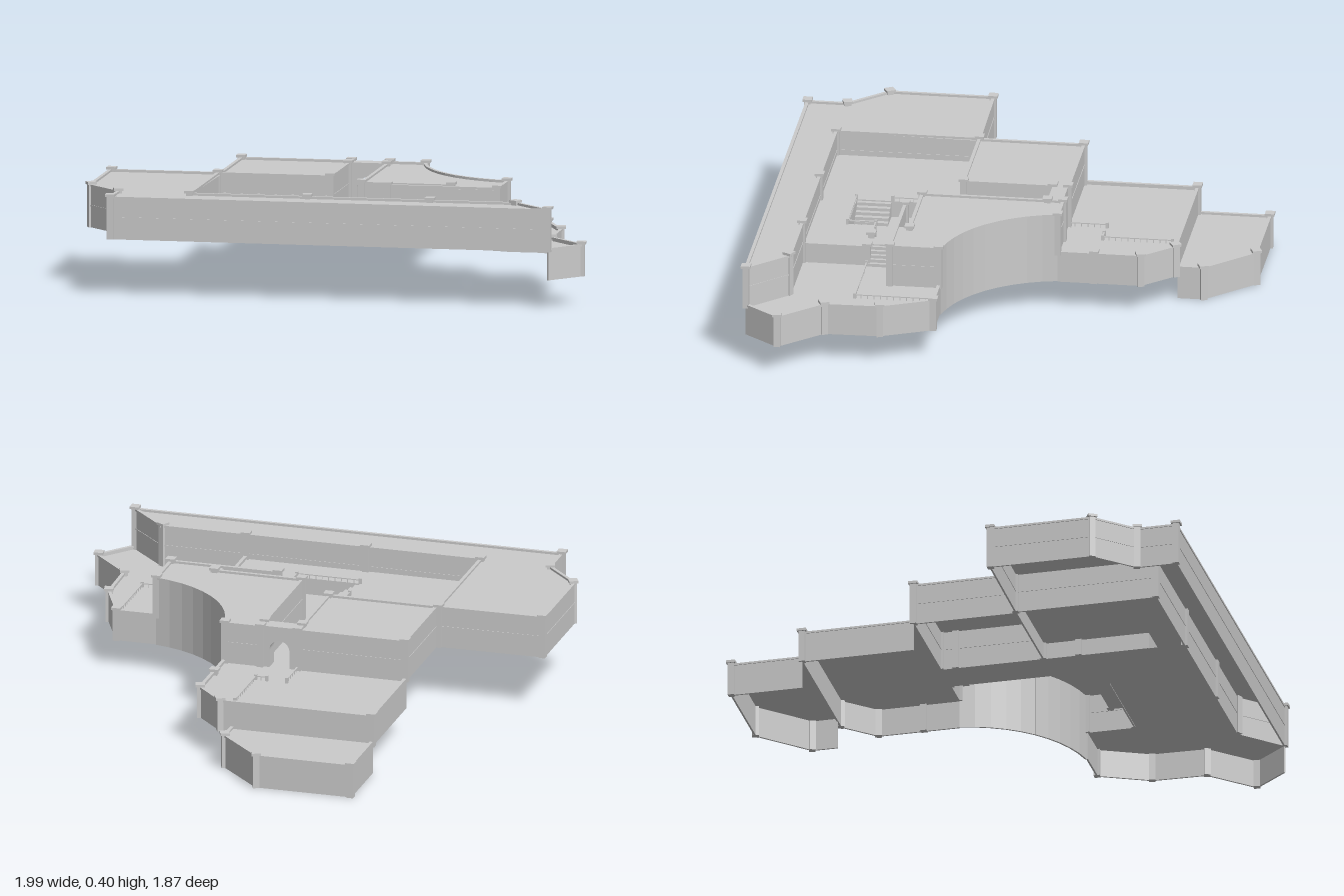
import * as THREE from 'three';

const stone = new THREE.MeshStandardMaterial({ color: 0xcccccc, flatShading: true, side: THREE.DoubleSide });

export function createModel() {
  const root = new THREE.Group();

  const box = (parent, name, w, h, d, x, y, z, turn = 0) => {
    const m = new THREE.Mesh(new THREE.BoxGeometry(w, h, d), stone);
    m.name = name;
    m.position.set(x, y + h / 2, z); // y is the underside
    m.rotation.y = turn;
    parent.add(m);
    return m;
  };

  const group = (name) => {
    const g = new THREE.Group();
    g.name = name;
    root.add(g);
    return g;
  };

  // Flat floor from [x, z] corners
  const floor = (name, pts, y) => {
    const shape = new THREE.Shape(pts.map(([x, z]) => new THREE.Vector2(x, -z)));
    const m = new THREE.Mesh(new THREE.ShapeGeometry(shape).rotateX(-Math.PI / 2), stone);
    m.name = name;
    m.position.y = y;
    root.add(m);
  };

  // Calls fn for each stretch between neighbouring points
  const stretches = (pts, fn) => {
    for (let i = 0; i + 1 < pts.length; i++) {
      const [ax, az] = pts[i], [bx, bz] = pts[i + 1];
      fn((ax + bx) / 2, (az + bz) / 2, Math.hypot(bx - ax, bz - az), -Math.atan2(bz - az, bx - ax));
    }
  };

  // Wall with a coping and, on tall walls, a middle moulding
  const wall = (name, pts, y0, y1, moulding = false) => {
    const g = group(name);
    stretches(pts, (x, z, len, turn) => {
      box(g, 'wallPanel', len, y1 - y0 - 0.008, 0.007, x, y0, z, turn);
      box(g, 'coping', len + 0.005, 0.008, 0.013, x, y1 - 0.008, z, turn);
      if (moulding) box(g, 'moulding', len, 0.005, 0.011, x, 0.302, z, turn);
    });
  };

  // Square posts with caps: [x, z, turn]
  const posts = (name, list, y0, y1) => {
    const g = group(name);
    for (const [x, z, turn = 0] of list) {
      box(g, 'postShaft', 0.025, y1 - y0 - 0.008, 0.025, x, y0, z, turn);
      box(g, 'postCap', 0.036, 0.01, 0.036, x, y1 - 0.009, z, turn);
    }
  };

  // Low thin railing with small end posts
  const railing = (name, pts, y) => {
    const g = group(name);
    stretches(pts, (x, z, len, turn) => {
      box(g, 'rail', len, 0.004, 0.006, x, y + 0.013, z, turn);
      const n = Math.max(2, Math.round(len / 0.025));
      for (let i = 0; i <= n; i++) {
        const s = (i / n - 0.5) * len;
        box(g, 'baluster', 0.003, 0.014, 0.003, x + Math.cos(turn) * s, y, z - Math.sin(turn) * s);
      }
    });
    for (const [x, z] of pts) box(g, 'railingPost', 0.011, 0.022, 0.011, x, y, z);
  };

  const LOW = 0.22, MID = 0.285, HIGH = 0.376, TOP = 0.386;

  // Lowest terrace at the back
  const back = [[-0.55, -0.64], [-0.55, -0.92], [-0.17, -0.92], [0.01, -0.74], [0.01, -0.64]];
  floor('lowestTerraceFloor', back, 0.122);
  wall('lowestTerraceWall', back, 0, 0.132);
  posts('lowestTerracePosts', [[-0.55, -0.92], [-0.17, -0.92, 0.4], [0.01, -0.74, 0.4]], 0, 0.142);

  // Second terrace
  const second = [[-0.55, -0.2], [-0.55, -0.64], [0.06, -0.64], [0.175, -0.52], [0.175, -0.2]];
  floor('secondTerraceFloor', second, LOW);
  wall('secondTerraceWall', second, 0.11, 0.235);
  posts('secondTerracePosts',
    [[-0.55, -0.64], [0.06, -0.64, 0.5], [0.175, -0.52, 0.3], [0.172, -0.34]], 0.11, 0.245);
  railing('secondTerraceRailing', [[0.005, -0.62], [0.005, -0.35], [-0.04, -0.35]], LOW);
  railing('gatePathRailing', [[-0.12, -0.35], [-0.12, -0.2]], LOW);

  // Square bastion
  const square = [[-0.55, -0.2], [-0.12, -0.2], [-0.12, 0.205], [-0.55, 0.205], [-0.55, -0.2]];
  floor('squareBastionTop', square.slice(0, 4), HIGH);
  wall('squareBastionWall', square, LOW, TOP, true);

  // Curved bastion, with a notch for its stair
  const arc = [];
  for (let i = 0; i <= 10; i++) {
    const a = THREE.MathUtils.degToRad(170.5 - 7.1 * i);
    arc.push([0.65 + 0.487 * Math.cos(a), -0.28 + 0.487 * Math.sin(a)]);
  }
  floor('curvedBastionTop', [[0.03, -0.2], ...arc, [0.57, 0.4], [0.38, 0.4], [0.38, 0.345], [0.03, 0.345]], HIGH);
  wall('curvedWall', arc, 0.11, TOP);
  wall('curvedBastionFront', [[0.57, 0.2], [0.57, 0.395], [0.14, 0.395]], LOW, TOP, true);
  wall('curvedBastionSide', [[0.17, -0.2], [0.03, -0.2], [0.03, 0.345], [0.38, 0.345]], LOW, TOP, true);
  const bastionStair = group('bastionStair');
  for (let i = 0; i < 12; i++) {
    box(bastionStair, 'step', 0.02, 0.013 * (i + 1), 0.045, 0.15 + i * 0.02, LOW, 0.37);
  }

  // Arched gate between the bastions
  const face = new THREE.Shape();
  face.moveTo(-0.12, LOW).lineTo(-0.085, LOW).lineTo(-0.085, 0.29);
  face.absarc(-0.045, 0.29, 0.04, Math.PI, 0, true);
  face.lineTo(-0.005, LOW).lineTo(0.03, LOW).lineTo(0.03, TOP).lineTo(-0.12, TOP);
  const gate = new THREE.Mesh(new THREE.ExtrudeGeometry(face, { depth: 0.06, bevelEnabled: false, curveSegments: 10 }), stone);
  gate.name = 'archedGate';
  gate.position.z = -0.2;
  root.add(gate);
  box(root, 'passageSill', 0.13, 0.02, 0.012, -0.055, LOW, 0.205);

  // Front rampart with the wide platform at one end
  const rampart = [[-0.55, 0.205], [-0.98, 0.21], [-0.98, 0.61], [-0.84, 0.755], [-0.84, 0.91], [0.87, 0.91],
    [0.72, 0.76], [-0.56, 0.76], [-0.56, 0.205]];
  floor('rampartTop', rampart, HIGH);
  wall('rampartWall', rampart, LOW, TOP, true);

  // Raised court, its edges and stairs
  const court = [[-0.56, 0.205], [-0.12, 0.205], [-0.12, 0.62], [0.135, 0.62], [0.135, 0.51], [0.38, 0.51], [0.38, 0.76], [-0.56, 0.76]];
  floor('raisedCourtFloor', court, MID);
  const edge = group('courtRetainingWall');
  stretches(court.slice(1, 7), (x, z, len, turn) => box(edge, 'retainingPanel', len, MID - LOW, 0.004, x, LOW, z, turn));
  wall('courtEndWall', [[0.38, 0.51], [0.38, 0.76]], LOW, 0.3);
  railing('courtSideRailing', [[-0.12, 0.21], [-0.12, 0.345], [-0.12, 0.48]], MID);
  railing('courtFrontRailing', [[-0.12, 0.62], [0.135, 0.62], [0.135, 0.51], [0.25, 0.51]], MID);
  posts('courtPosts', [[0.255, 0.51], [0.375, 0.51]], LOW, 0.31);
  posts('courtSidePost', [[-0.12, 0.345]], LOW, 0.312);
  const courtStair = group('courtStair');
  for (let i = 0; i < 5; i++) {
    box(courtStair, 'step', 0.02, 0.06 - i * 0.012, 0.13, -0.11 + i * 0.02, LOW, 0.55);
    box(courtStair, 'landingStep', 0.014, 0.06 - i * 0.012, 0.1, 0.332 + i * 0.014, LOW, 0.46);
  }
  box(courtStair, 'landing', 0.075, 0.065, 0.1, 0.288, LOW, 0.46);
  railing('landingRailing', [[0.25, 0.41], [0.325, 0.41]], MID);

  // Low court and side terrace
  const outer = [[0.57, 0.205], [0.73, 0.205], [0.82, 0.4], [0.825, 0.615], [0.98, 0.775], [0.87, 0.91]];
  floor('lowCourtFloor', [[-0.12, -0.2], [0.03, -0.2], [0.03, 0.345], [0.14, 0.345], [0.14, 0.4], [0.57, 0.4],
    ...outer, [0.72, 0.76], [-0.12, 0.76]], LOW);
  wall('sideTerraceWall', outer, 0.11, 0.235);
  posts('sideTerracePosts', [[0.73, 0.205], [0.82, 0.4, 0.2], [0.825, 0.615, 0.4], [0.975, 0.775, 0.1]], 0.11, 0.245);
  railing('sideTerraceRailing', [[0.39, 0.51], [0.72, 0.51], [0.72, 0.21]], LOW);

  // Tall corner posts
  posts('tallPosts', [
    [-0.55, -0.2], [-0.12, -0.2], [0.03, -0.2], [0.172, -0.2], [-0.12, -0.14], [0.03, -0.14],
    [-0.56, 0.205], [-0.12, 0.205], [0.03, 0.345], [0.38, 0.345], [0.14, 0.395], [0.57, 0.395], [0.57, 0.205],
    [-0.975, 0.21], [-0.975, 0.61, 0.5], [-0.84, 0.755, 0.3], [-0.84, 0.91], [0.87, 0.91],
    [-0.56, 0.76], [-0.1, 0.76], [0.38, 0.76], [0.715, 0.765, -0.5],
  ], LOW, 0.395);

  return root;
}
